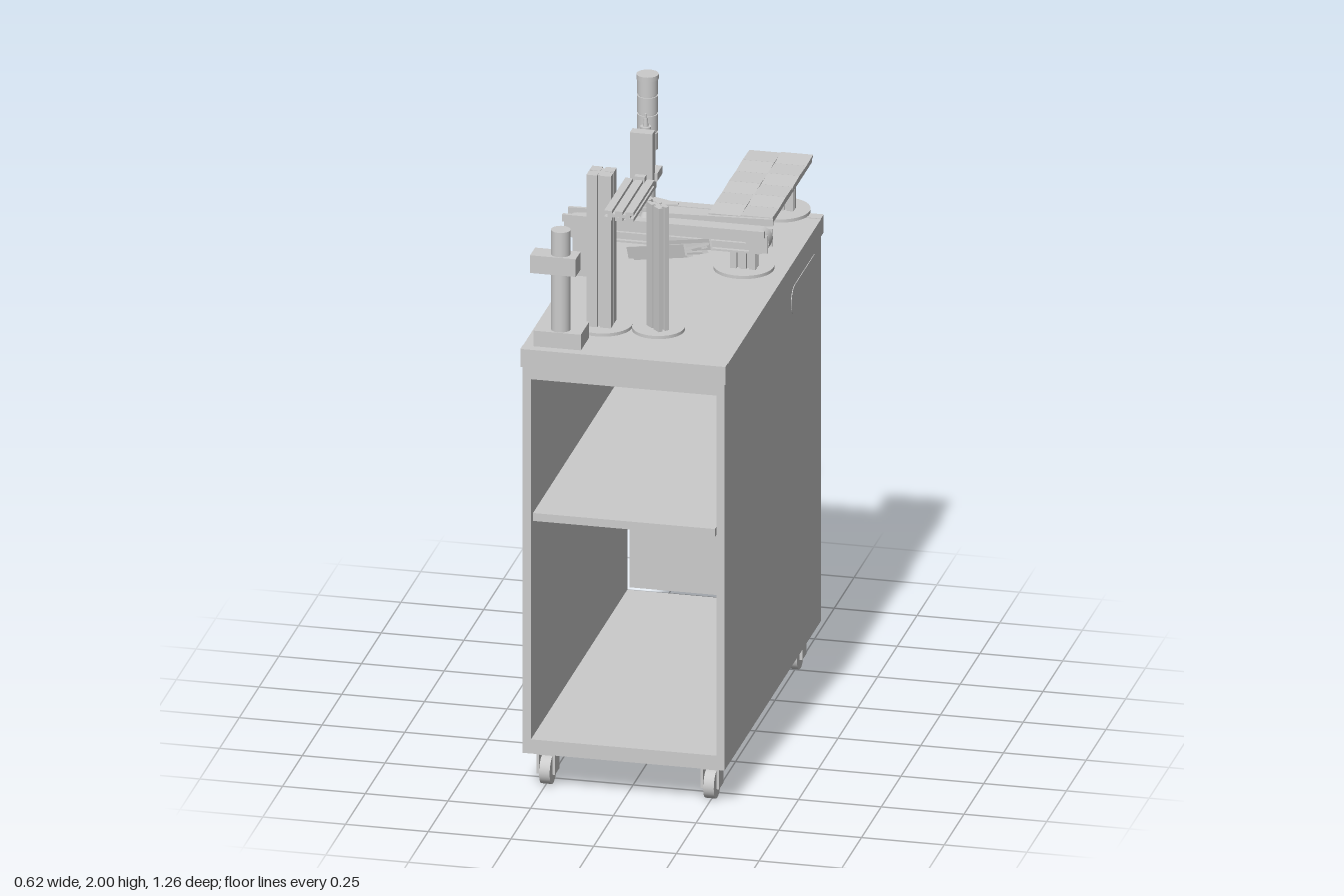
import * as THREE from 'three';
import { mergeGeometries } from 'three/addons/utils/BufferGeometryUtils.js';

const mat = new THREE.MeshStandardMaterial({ color: 0xcccccc });

function add(parent, name, geo, x = 0, y = 0, z = 0) {
  const m = new THREE.Mesh(geo, mat);
  m.name = name;
  m.position.set(x, y, z);
  parent.add(m);
  return m;
}
// box given by its min and max on each axis
function span(parent, name, x0, x1, y0, y1, z0, z1) {
  return add(parent, name, new THREE.BoxGeometry(x1 - x0, y1 - y0, z1 - z0), (x0 + x1) / 2, (y0 + y1) / 2, (z0 + z1) / 2);
}
// upright cylinder standing from y0 to y1
function cyl(parent, name, r, y0, y1, x, z, r2 = r, seg = 32) {
  return add(parent, name, new THREE.CylinderGeometry(r2, r, y1 - y0, seg), x, (y0 + y1) / 2, z);
}
function subGroup(parent, name, x = 0, y = 0, z = 0) {
  const g = new THREE.Group();
  g.name = name;
  g.position.set(x, y, z);
  parent.add(g);
  return g;
}
// slotted aluminium profile: a core with nx by nz corner bars, running along y
function slotted(w, d, len, nx, nz) {
  const gap = 0.009, parts = [new THREE.BoxGeometry(w - 0.02, len - 0.002, d - 0.02)];
  const cw = (w - gap * (nx - 1)) / nx, cd = (d - gap * (nz - 1)) / nz;
  for (let i = 0; i < nx; i++) for (let j = 0; j < nz; j++) {
    parts.push(new THREE.BoxGeometry(cw, len, cd).translate(-w / 2 + cw / 2 + i * (cw + gap), 0, -d / 2 + cd / 2 + j * (cd + gap)));
  }
  return mergeGeometries(parts);
}

function buildCabinet(root) {
  const g = subGroup(root, 'cabinet');
  for (const s of [-1, 1]) {
    const a = s * 0.305, b = s * 0.28;
    span(g, 'sideWall', Math.min(a, b), Math.max(a, b), 0.12, 1.345, -0.6, 0.62);
  }
  span(g, 'floorBoard', -0.28, 0.28, 0.12, 0.165, -0.6, 0.62);
  span(g, 'ceilingBoard', -0.28, 0.28, 1.305, 1.345, -0.6, 0.62);
  span(g, 'shelf', -0.275, 0.275, 0.855, 0.88, -0.59, 0.615);
  span(g, 'backDoor', -0.27, 0.27, 0.178, 1.292, -0.607, -0.588);
  span(g, 'worktop', -0.31, 0.31, 1.345, 1.4, -0.615, 0.63);
  span(g, 'backTrim', -0.31, 0.31, 1.4, 1.402, -0.615, -0.58);
  span(g, 'frontTrim', -0.31, 0.31, 1.4, 1.402, 0.6, 0.63);

  // rounded plate on the left wall
  const s = new THREE.Shape();
  s.absarc(0.12, 0, 0.045, -Math.PI / 2, Math.PI / 2);
  s.absarc(-0.12, 0, 0.045, Math.PI / 2, Math.PI * 1.5);
  const plate = add(g, 'sideGripPlate', new THREE.ExtrudeGeometry(s, { depth: 0.002, bevelEnabled: false }), 0.305, 1.27, -0.385);
  plate.rotation.y = Math.PI / 2;

  // casters
  for (const x of [-0.248, 0.248]) for (const z of [0.54, -0.513]) {
    const c = subGroup(g, 'caster', x, 0, z);
    add(c, 'wheel', new THREE.CylinderGeometry(0.045, 0.045, 0.032, 28).rotateZ(Math.PI / 2), 0, 0.045, 0);
    for (const side of [-1, 1]) add(c, 'forkArm', new THREE.BoxGeometry(0.008, 0.075, 0.055), side * 0.024, 0.075, 0);
    add(c, 'forkTop', new THREE.BoxGeometry(0.056, 0.022, 0.06), 0, 0.109, 0);
  }
}

function buildSignalLight(root) {
  const g = subGroup(root, 'signalLight', -0.198, 1.4, -0.513);
  cyl(g, 'basePlate', 0.062, 0, 0.012, 0, 0);
  cyl(g, 'baseFlare', 0.056, 0.012, 0.025, 0, 0, 0.034);
  for (let i = 0; i < 4; i++) {
    const a = i * Math.PI / 2;
    cyl(g, 'bolt', 0.008, 0.01, 0.022, Math.cos(a) * 0.05, Math.sin(a) * 0.05, 0.008, 6);
  }
  cyl(g, 'pole', 0.023, 0.02, 0.21, 0, 0);
  for (let i = 0; i < 4; i++) {
    cyl(g, 'lamp', 0.031, 0.205 + i * 0.058, 0.257 + i * 0.058, 0, 0);
    cyl(g, 'lampRing', 0.027, 0.255 + i * 0.058, 0.265 + i * 0.058, 0, 0);
  }
  cyl(g, 'cap', 0.033, 0.425, 0.44, 0, 0);
}

function buildFrontStand(root) {
  const g = subGroup(root, 'frontStand');
  span(g, 'base', -0.278, -0.135, 1.4, 1.45, 0.49, 0.597);
  cyl(g, 'post', 0.029, 1.45, 1.765, -0.203, 0.565);
  span(g, 'clampBlock', -0.288, -0.15, 1.632, 1.688, 0.535, 0.598);
}

function buildColumns(root) {
  const g = subGroup(root, 'columns');
  cyl(g, 'mainFoot', 0.087, 1.4, 1.41, -0.117, 0.39, 0.087, 40);
  add(g, 'mainColumn', slotted(0.074, 0.074, 0.48, 2, 2), -0.121, 1.65, 0.393);
  cyl(g, 'chuteFoot', 0.078, 1.4, 1.41, 0.048, 0.38, 0.078, 40);
  const c = add(g, 'chuteColumn', slotted(0.07, 0.035, 0.39, 2, 2), 0.048, 1.605, 0.39);
  c.rotation.y = -Math.PI / 4;
  // cantilever arm
  const arm = add(g, 'arm', slotted(0.088, 0.03, 0.268, 3, 2), -0.038, 1.805, 0.389);
  arm.rotation.x = Math.PI / 2;
}

function buildChute(root) {
  const g = subGroup(root, 'chute', 0.058, 1.61, 0.275);
  g.lookAt(-0.052, 1.553, 0.165);
  add(g, 'chuteFloor', new THREE.BoxGeometry(0.085, 0.008, 0.33), 0, 0.008, 0);
  for (const s of [-1, 1]) {
    add(g, 'chuteRail', new THREE.BoxGeometry(0.007, 0.034, 0.34), s * 0.044, 0.006, 0);
    add(g, 'chuteBearer', slotted(0.02, 0.02, 0.32, 1, 2).rotateX(Math.PI / 2), s * 0.026, -0.008, 0);
  }
}

function buildGripperHead(root) {
  const g = subGroup(root, 'liftHead', -0.037, 0, 0);
  span(g, 'slideBody', -0.034, 0.034, 1.785, 1.96, 0.21, 0.245);
  span(g, 'slideBracket', -0.016, 0.016, 1.79, 1.83, 0.235, 0.265);
  span(g, 'carriage', -0.036, 0.042, 1.8, 1.825, 0.15, 0.215);
  span(g, 'carriageLower', -0.03, 0.03, 1.765, 1.8, 0.175, 0.215);
  cyl(g, 'cylinder', 0.016, 1.82, 1.96, 0, 0.185);
  cyl(g, 'cylinderNeck', 0.008, 1.96, 1.985, 0, 0.185, 0.006);
  cyl(g, 'rod', 0.004, 1.98, 2.0, 0, 0.185);
  cyl(g, 'spindle', 0.007, 1.69, 1.8, 0, 0.185);
  for (const [y, r] of [[1.75, 0.017], [1.725, 0.02], [1.7, 0.014]]) cyl(g, 'cupRing', r, y - 0.007, y + 0.007, 0, 0.185);
  cyl(g, 'suctionCup', 0.017, 1.675, 1.695, 0, 0.185, 0.008);
}

function buildCrossConveyor(root) {
  const g = subGroup(root, 'crossConveyor');
  add(g, 'bed', slotted(0.05, 0.05, 0.54, 2, 2).rotateZ(Math.PI / 2), 0, 1.578, 0.055);
  span(g, 'belt', -0.275, 0.275, 1.606, 1.612, 0.028, 0.08);
  span(g, 'beltReturn', -0.275, 0.275, 1.542, 1.548, 0.028, 0.08);
  for (const s of [-1, 1]) {
    add(g, 'endRoller', new THREE.CylinderGeometry(0.035, 0.035, 0.052, 28).rotateX(Math.PI / 2), s * 0.275, 1.577, 0.054);
    for (const z of [0.024, 0.084]) add(g, 'endPlate', new THREE.BoxGeometry(0.055, 0.055, 0.007), s * 0.28, 1.577, z);
  }
  span(g, 'straightGuide', -0.31, 0.3, 1.6, 1.622, 0.089, 0.1);
  const guide = add(g, 'slantedGuide', new THREE.BoxGeometry(0.61, 0.022, 0.01), 0, 1.615, 0.024);
  guide.rotation.y = 0.07;
  // drive mount hanging under the end
  for (const z of [0, 0.092]) span(g, 'mountPlate', -0.28, -0.235, 1.43, 1.605, z - 0.003, z + 0.003);
  span(g, 'driveBox', -0.28, -0.235, 1.52, 1.56, 0.02, 0.08);

  // diverter beside the belt
  const d = subGroup(g, 'diverter');
  span(d, 'diverterBody', -0.085, -0.03, 1.555, 1.61, -0.05, 0);
  span(d, 'diverterArm', -0.115, -0.07, 1.595, 1.615, -0.06, -0.01);
  cyl(d, 'pivot', 0.012, 1.6, 1.635, -0.06, -0.04);
  span(d, 'diverterBracket', -0.085, -0.035, 1.585, 1.6, -0.095, -0.045);
  const s = new THREE.Shape([[-0.08, 0.045], [-0.065, 0.06], [0.01, 0.03], [0.012, 0.018], [-0.04, 0.005], [-0.07, -0.03], [-0.08, -0.02]]
    .map(([x, y]) => new THREE.Vector2(x, y)));
  add(d, 'diverterPaddle', new THREE.ExtrudeGeometry(s, { depth: 0.005, bevelEnabled: false }).rotateX(-Math.PI / 2), 0, 1.633, 0);
}

function buildTileTable(root) {
  const g = subGroup(root, 'tileTable');
  span(g, 'tableFrame', 0.1, 0.287, 1.585, 1.6, -0.562, -0.053);
  // two rows of hinged tiles, each tilted a touch
  const n = 6, len = 0.517 / n;
  for (let i = 0; i < n; i++) for (let j = 0; j < 2; j++) {
    const t = add(g, 'tile', new THREE.BoxGeometry(0.096, 0.007, len - 0.001), 0.145 + j * 0.0965, 1.603, -0.567 + (i + 0.5) * len);
    t.rotation.x = (i + j) % 2 ? 0.03 : -0.03;
  }
  for (const [z, post] of [[-0.085, -0.068], [-0.545, -0.545]]) {
    cyl(g, 'tableFoot', 0.09, 1.428, 1.438, 0.195, z, 0.09, 40);
    cyl(g, 'footHub', 0.02, 1.4, 1.43, 0.195, z);
    add(g, 'tablePost', slotted(0.078, 0.034, 0.15, 3, 2), 0.2, 1.512, post);
  }
}

export function createModel() {
  const root = new THREE.Group();
  root.name = 'mobileWorkstation';
  [buildCabinet, buildSignalLight, buildFrontStand, buildColumns, buildChute,
    buildGripperHead, buildCrossConveyor, buildTileTable].forEach((build) => build(root));
  return root;
}
